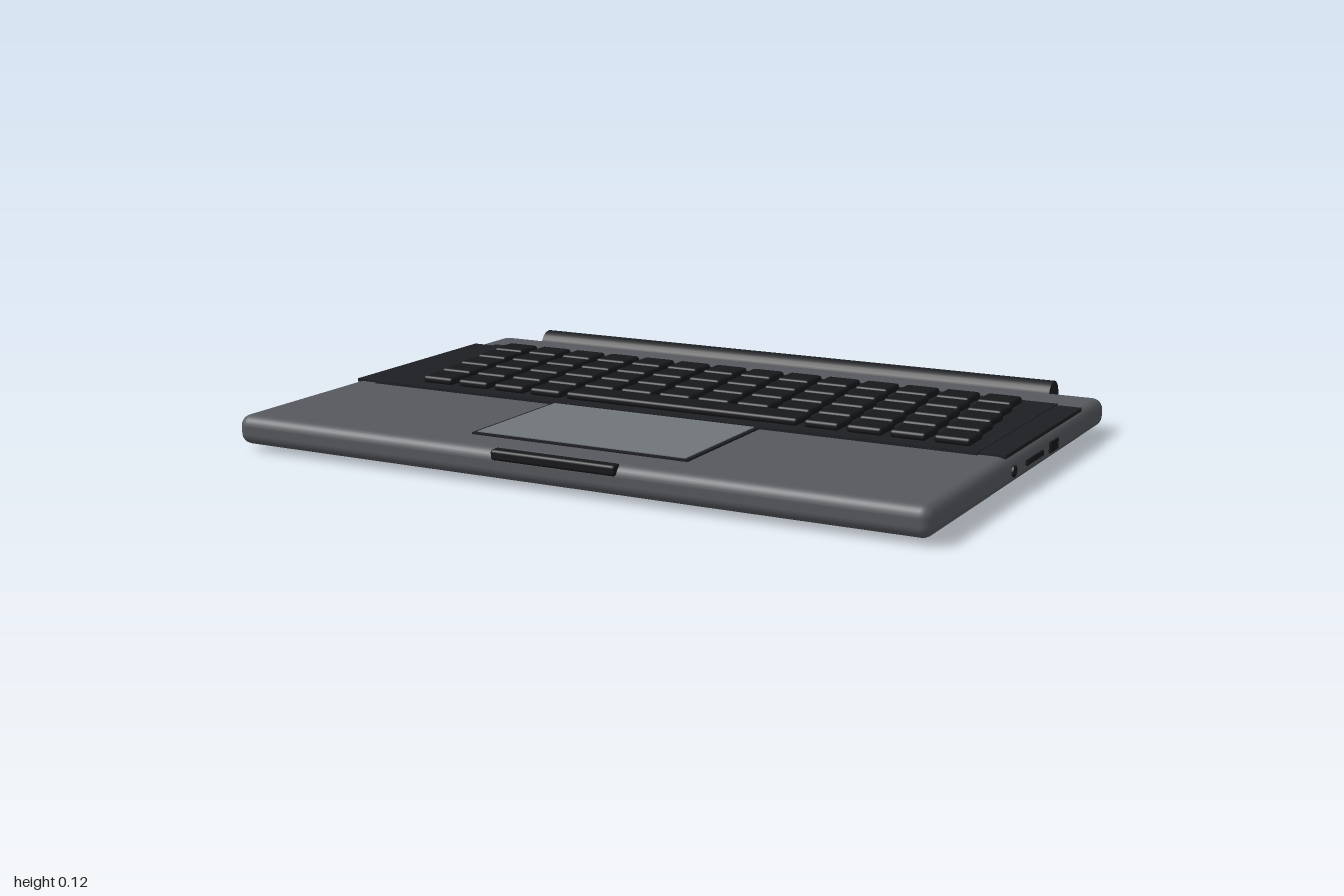
import * as THREE from 'three';
import { RoundedBoxGeometry } from 'three/addons/geometries/RoundedBoxGeometry.js';

const paint = (color) => new THREE.MeshStandardMaterial({ color });

export function createModel() {
  const model = new THREE.Group();
  const grey = paint(0x56595e);
  const dark = paint(0x1e1f23);
  const black = paint(0x17181b);
  const silver = paint(0x70757b);

  const add = (name, geometry, material, x, y, z, parent = model) => {
    const mesh = new THREE.Mesh(geometry, material);
    mesh.name = name;
    mesh.position.set(x, y, z);
    parent.add(mesh);
    return mesh;
  };
  const box = (w, h, d) => new THREE.BoxGeometry(w, h, d);
  const rounded = (w, h, d, r) => new RoundedBoxGeometry(w, h, d, 3, r);

  // Base shell
  add('baseShell', rounded(1.99, 0.08, 1.32, 0.03), grey, 0, 0.056, 0.025);

  // Keyboard bed with a speaker strip on either side
  add('keyboardBed', box(1.83, 0.012, 0.63), dark, 0, 0.098, -0.143);
  for (const side of [-1, 1]) {
    add(side > 0 ? 'leftSpeaker' : 'rightSpeaker', box(0.075, 0.01, 0.61), dark, side * 0.948, 0.097, -0.143);
  }

  // Five staggered rows of keys; the last holds the space bar
  const keys = new THREE.Group();
  keys.name = 'keys';
  model.add(keys);
  const pitch = 0.12;
  const keyGeometry = rounded(0.1, 0.021, 0.094, 0.009);
  for (let row = 0; row < 5; row++) {
    const startX = -0.78 + row * 0.0128;
    const z = -0.366 + row * 0.1122;
    for (let col = 0; col < 14; col++) {
      if (row === 4 && col >= 4 && col <= 9) continue;
      add('key', keyGeometry, black, startX + col * pitch, 0.1145, z, keys);
    }
    if (row === 4) {
      add('spaceBar', rounded(0.705, 0.021, 0.094, 0.009), black, startX + 6.5 * pitch, 0.1145, z, keys);
    }
  }

  // Trackpad and its border
  add('trackpadBorder', box(0.63, 0.008, 0.4), dark, 0, 0.097, 0.37);
  add('trackpad', box(0.61, 0.008, 0.38), silver, 0, 0.099, 0.37);

  // Thumb notch on the front edge
  add('frontLatch', rounded(0.36, 0.028, 0.034, 0.008), black, 0, 0.083, 0.676);

  // Hinge barrel behind the base
  add('hinge', new THREE.CylinderGeometry(0.044, 0.044, 1.68, 24), dark, 0, 0.08, -0.652)
    .rotation.z = Math.PI / 2;

  // Long rubber feet
  for (const z of [0.54, -0.487]) add('foot', box(1.53, 0.018, 0.062), black, 0, 0.009, z);

  // Ports: side, z, length, height
  const ports = [
    [1, -0.025, 0.13, 0.014],
    [1, -0.178, 0.066, 0.028],
    [-1, -0.28, 0.075, 0.028],
    [-1, -0.077, 0.066, 0.028],
    [-1, 0.075, 0.06, 0.02],
    [-1, 0.227, 0.128, 0.014],
  ];
  for (const [side, z, length, height] of ports) {
    add('port', box(0.012, height, length), black, side * 0.994, 0.056, z);
  }
  add('audioJack', new THREE.CylinderGeometry(0.015, 0.015, 0.012, 20), black, 0.994, 0.056, 0.13)
    .rotation.z = Math.PI / 2;

  return model;
}
